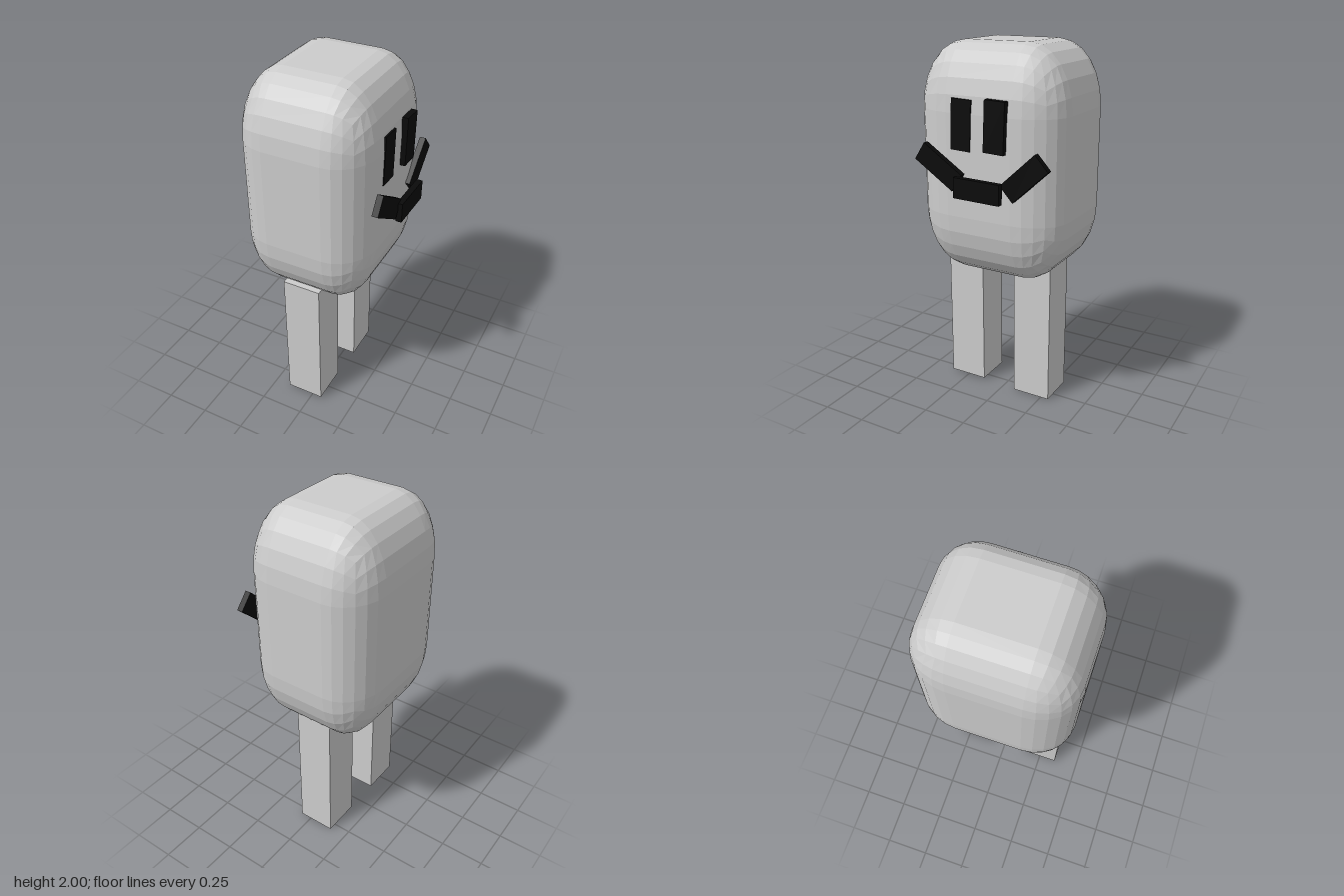
import * as THREE from 'three';

// Rounded box: a 7x7x7 cube whose outer three rows on each side bend through 45 degrees
function roundedBlock(radius) {
  const geo = new THREE.BoxGeometry(2, 2, 2, 7, 7, 7);
  const pos = geo.attributes.position;
  const core = 0.5 - radius;
  const step = Math.PI / 12;
  const v = new THREE.Vector3();
  const corner = new THREE.Vector3();
  for (let i = 0; i < pos.count; i++) {
    v.fromBufferAttribute(pos, i);
    for (const axis of ['x', 'y', 'z']) {
      const k = Math.round((v[axis] + 1) * 3.5);
      corner[axis] = k < 4 ? -core : core;
      v[axis] = Math.tan((k < 4 ? k - 3 : k - 4) * step);
    }
    v.normalize().multiplyScalar(radius).add(corner);
    pos.setXYZ(i, v.x, v.y, v.z);
  }
  geo.computeVertexNormals();
  return geo;
}

export function createModel() {
  const model = new THREE.Group();
  const grey = new THREE.MeshStandardMaterial({ color: 0xcccccc, flatShading: true });
  grey.name = 'light grey';
  const black = new THREE.MeshStandardMaterial({ color: 0x0a0a0a, flatShading: true });
  black.name = 'black';

  function add(name, geo, material, x, y, z, tilt = 0) {
    const mesh = new THREE.Mesh(geo, material);
    mesh.name = name;
    mesh.position.set(x, y, z);
    mesh.rotation.x = tilt;
    model.add(mesh);
    return mesh;
  }

  // Body
  const body = add('body', roundedBlock(0.28), grey, -0.043, 1.382, -0.002);
  body.scale.set(0.725, 1.236, 0.846);

  // Legs
  const leg = new THREE.BoxGeometry(0.215, 0.815, 0.222);
  add('leftLeg', leg, grey, -0.046, 0.421, 0.244);
  add('rightLeg', leg, grey, -0.041, 0.409, -0.185);

  // Eyes on the +x side
  const eye = new THREE.BoxGeometry(0.033, 0.262, 0.115);
  add('leftEye', eye, black, 0.308, 1.597, 0.093, -0.04);
  add('rightEye', eye, black, 0.331, 1.607, -0.113, -0.04);

  // Smile made of three bars
  const bar = new THREE.BoxGeometry(0.033, 0.108, 0.265);
  add('smileLeft', bar, black, 0.364, 1.383, 0.198, -0.577);
  add('smileMiddle', bar, black, 0.387, 1.29, -0.04, 0.02 * -1);
  add('smileRight', bar, black, 0.327, 1.37, -0.276, 0.745);

  return model;
}
